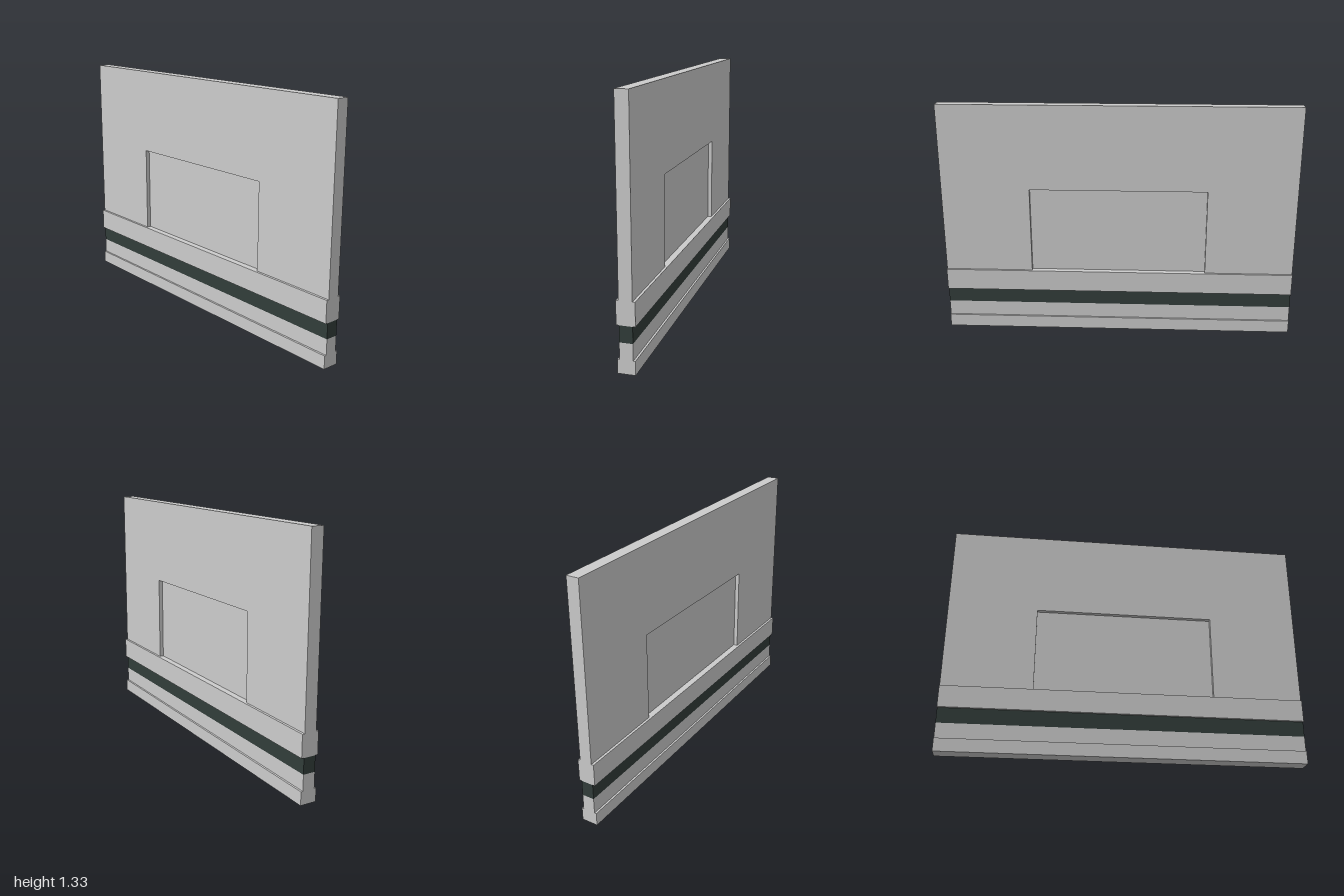
import * as THREE from 'three';

const WIDTH = 2;
const WALL_DEPTH = 0.068;

export function createModel() {
  const group = new THREE.Group();
  const grey = new THREE.MeshStandardMaterial({ color: 0xcccccc });
  const dark = new THREE.MeshStandardMaterial({ color: 0x323d3a });

  function add(name, geometry, material) {
    const mesh = new THREE.Mesh(geometry, material);
    mesh.name = name;
    group.add(mesh);
    return mesh;
  }

  // Horizontal slab between two heights, centred in x and z
  function slab(name, y0, y1, depth, material = grey, width = WIDTH) {
    add(name, new THREE.BoxGeometry(width, y1 - y0, depth), material)
      .position.y = (y0 + y1) / 2;
  }

  // Stacked courses from the floor up
  slab('baseboard', 0, 0.072, 0.09);
  slab('lowerWall', 0.072, 0.158, WALL_DEPTH);
  slab('darkBand', 0.158, 0.243, WALL_DEPTH, dark);
  slab('rail', 0.243, 0.365, 0.095);

  // Upper wall with a rectangular opening standing on the rail
  const outline = [
    [-1, 0.365], [-0.5, 0.365], [-0.5, 0.853], [0.5, 0.853],
    [0.5, 0.365], [1, 0.365], [1, 1.333], [-1, 1.333],
  ].map(([x, y]) => new THREE.Vector2(x, y));
  const wall = new THREE.ExtrudeGeometry(new THREE.Shape(outline), {
    depth: WALL_DEPTH, bevelEnabled: false,
  });
  wall.translate(0, 0, -WALL_DEPTH / 2);
  add('upperWall', wall, grey);

  // Thin panel set back from both faces of the opening
  slab('recessedPanel', 0.365, 0.853, 0.022, grey, 1);

  return group;
}
